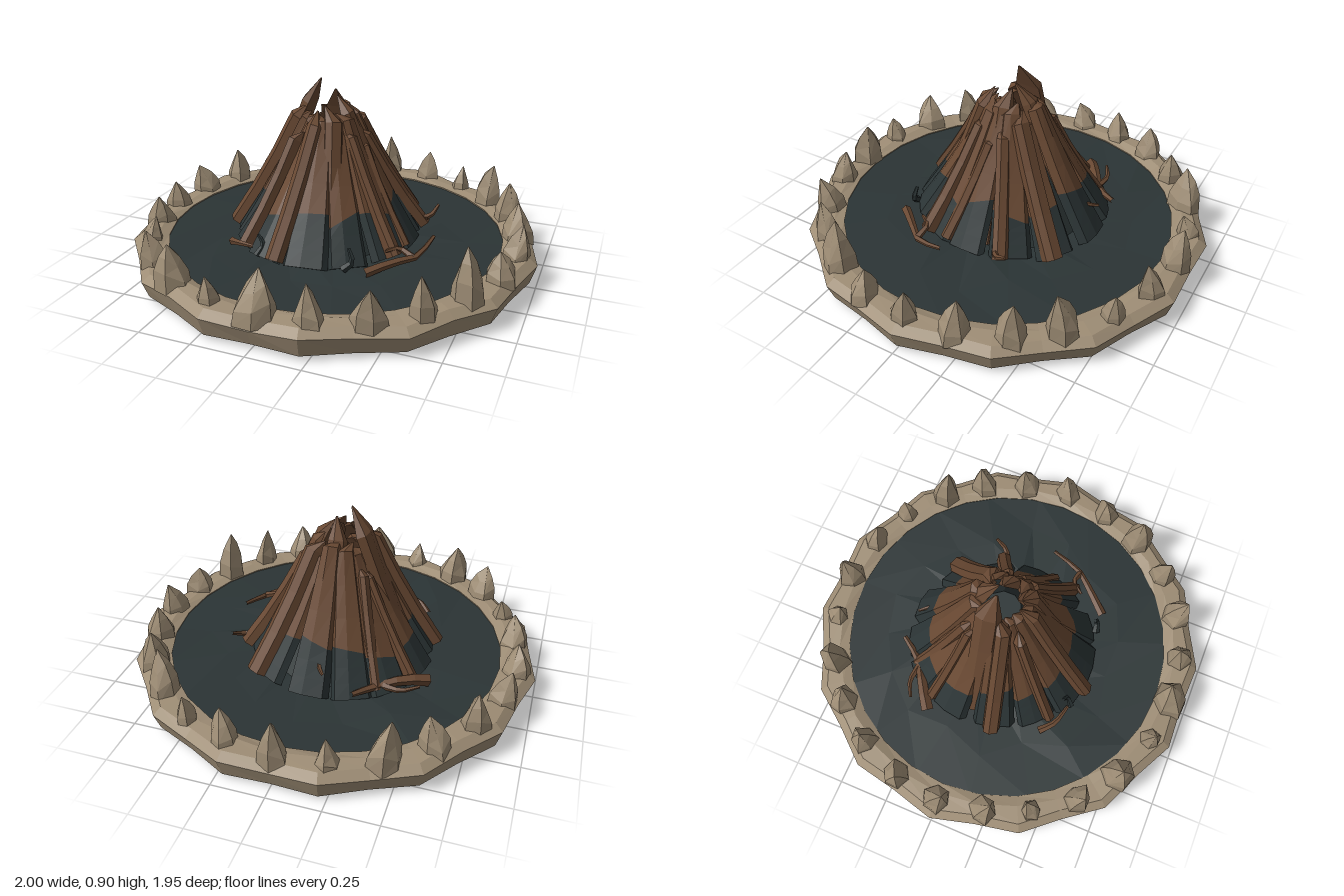
import * as THREE from 'three';

const mat = (name, color) => {
  const m = new THREE.MeshStandardMaterial({ color, flatShading: true });
  m.name = name;
  return m;
};

// Seeded random numbers in -1..1
function seeded(seed) {
  return () => {
    seed = (seed * 16807) % 2147483647;
    return (seed / 2147483647) * 2 - 1;
  };
}

// Skin a list of equal-length loops, capped at both ends
function loft(loops) {
  const pos = [];
  const tri = (...pts) => pts.forEach((p) => pos.push(p.x, p.y, p.z));
  const n = loops[0].length;
  for (let k = 0; k + 1 < loops.length; k++) {
    const a = loops[k], b = loops[k + 1];
    for (let i = 0; i < n; i++) {
      const j = (i + 1) % n;
      tri(a[i], a[j], b[j]);
      tri(a[i], b[j], b[i]);
    }
  }
  const first = loops[0], last = loops[loops.length - 1];
  for (let i = 1; i + 1 < n; i++) {
    tri(first[0], first[i + 1], first[i]);
    tri(last[0], last[i], last[i + 1]);
  }
  const g = new THREE.BufferGeometry();
  g.setAttribute('position', new THREE.Float32BufferAttribute(pos, 3));
  g.computeVertexNormals();
  return g;
}

// Lathe whose points are nudged by rule(segment, profileIndex, radius, y) -> [radius, y]
function roughLathe(profile, segs, rule) {
  const g = new THREE.LatheGeometry(profile.map(([r, y]) => new THREE.Vector2(r, y)), segs);
  const p = g.attributes.position;
  for (let i = 0; i <= segs; i++) {
    profile.forEach(([r, y], j) => {
      const a = (i / segs) * Math.PI * 2;
      const [r2, y2] = rule(i % segs, j, r, y);
      p.setXYZ(i * profile.length + j, r2 * Math.sin(a), y2, r2 * Math.cos(a));
    });
  }
  g.computeVertexNormals();
  return g;
}

export function createModel() {
  const model = new THREE.Group();
  model.name = 'campfire';
  const stone = mat('sandstone', 0x9e8d75);
  const wood = mat('brown wood', 0x684832);
  const char = mat('charred dark', 0x2b3435);
  const rnd = seeded(4217);
  const add = (name, geo, material, parent = model) => {
    const m = new THREE.Mesh(geo, material);
    m.name = name;
    parent.add(m);
    return m;
  };
  const group = (name) => {
    const g = new THREE.Group();
    g.name = name;
    model.add(g);
    return g;
  };

  // Stone rim with fourteen shallow lobes and a wavy crest
  const wave = Array.from({ length: 32 }, () => rnd());
  const rimProfile = [[0.855, 0.024], [0.955, 0.022], [0.985, 0.11], [0.945, 0.142], [0.875, 0.147], [0.825, 0.133], [0.855, 0.024]];
  add('rim', roughLathe(rimProfile, 28, (i, j, r, y) => {
    const outer = j > 0 && j < 4;
    const inner = j === 0 || j === 6;
    const dr = outer ? (i % 2 ? 0.015 : -0.017) : 0;
    const dy = inner ? (i === 1 ? -0.024 : 0) : j > 1 && j < 5 ? wave[i] * 0.012 : 0;
    return [r + dr, y + dy];
  }), stone);

  // Ash bed, faintly uneven on top
  const bed = [[0, 0.04], [0.86, 0.04], [0.84, 0.125], [0.6, 0.127], [0.32, 0.13], [0, 0.132]];
  add('ashBed', roughLathe(bed, 18, (i, j, r, y) =>
    j === 3 || j === 4 ? [r + wave[(i * 3 + j) % 32] * 0.07, y + wave[(i * 5 + j) % 32] * 0.014] : [r, y]), char);

  // Pointed stones standing on the rim every 15 degrees: height and girth of each
  const stones = group('stones');
  const sizes = [[0.3, 0.062], [0.27, 0.068], [0.38, 0.078], [0.32, 0.062], [0.3, 0.07], [0.3, 0.06],
    [0.34, 0.085], [0.26, 0.052], [0.32, 0.078], [0.3, 0.062], [0.25, 0.05], [0.28, 0.068],
    [0.27, 0.068], [0.28, 0.068], [0.31, 0.066], [0.3, 0.064], [0.34, 0.072], [0.25, 0.052],
    [0.34, 0.066], [0.3, 0.062], [0.26, 0.046], [0.35, 0.068], [0.32, 0.066], [0.31, 0.066]];
  sizes.forEach(([h, size], i) => {
    const a = (i / 24) * Math.PI * 2;
    const leanX = rnd() * 0.035, leanZ = rnd() * 0.035, turn = rnd() * 3;
    const bumps = Array.from({ length: 6 }, () => 1 + rnd() * 0.16);
    const rise = h - 0.11;
    const loops = [[0, 1.1], [0.36, 1], [0.66, 0.62], [1, 0.04]].map(([t, s], k) =>
      bumps.map((b, q) => {
        const u = turn - (q / 6) * Math.PI * 2;
        const r = size * s * b;
        const dy = k === 1 || k === 2 ? rise * 0.11 * Math.sin(q * 2.4 + i) : 0;
        return new THREE.Vector3(r * Math.cos(u) + leanX * t * t, rise * t + dy, r * Math.sin(u) + leanZ * t * t);
      }));
    const m = add('stone', loft(loops), stone, stones);
    m.position.set(Math.cos(a) * 0.9, 0.11, Math.sin(a) * 0.9);
  });

  // One split log leaning to the middle; sections cover t = from..to, meeting along a slanted burn line,
  // with an optional splintered tip
  const cx = -0.03, cz = -0.01;
  function plank({ deg, r0, r1, y0 = 0.13, y1, w0, w1, th = 0.05, swing = 0, tip = 0, tipSide = 0, from = 0, to = 1, skew = 0 }) {
    const a = THREE.MathUtils.degToRad(deg), a1 = a + swing;
    const base = new THREE.Vector3(cx + Math.cos(a) * r0, y0, cz + Math.sin(a) * r0);
    const top = new THREE.Vector3(cx + Math.cos(a1) * r1, y1, cz + Math.sin(a1) * r1);
    const d = top.clone().sub(base).normalize();
    const s = new THREE.Vector3(Math.cos(a), 0, Math.sin(a)).cross(d).normalize();
    const n = d.clone().cross(s);
    const section = (t, scale = 1, shift = 0, along = 0) => {
      const w = THREE.MathUtils.lerp(w0, w1, t) * 0.5;
      const bow = Math.sin(t * Math.PI) * -0.012;
      const slant = (t === from && from > 0) || (t === to && to < 1) ? skew : 0;
      return [[-1, 0], [1, 0], [0.85, 0.85], [0.15, 1.1], [-0.8, 0.8]].map(([u, v]) =>
        base.clone().lerp(top, t + slant * u).addScaledVector(s, (u * scale + shift) * w)
          .addScaledVector(n, v * th * scale + bow).addScaledVector(d, along));
    };
    const loops = [0, 0.33, 0.66, 1].map((k) => section(THREE.MathUtils.lerp(from, to, k)));
    if (tip && to === 1) loops.push(section(1, 0.1, tipSide, tip));
    return loft(loops);
  }

  // Inner ring of broad logs: charred feet, brown upper parts
  const pile = group('logPile');
  for (let i = 0; i < 13; i++) {
    const log = {
      deg: i * 27.7 + rnd() * 4, r0: 0.435 + rnd() * 0.025, r1: 0.1 + rnd() * 0.015, y1: 0.7 + rnd() * 0.04,
      w0: 0.2 + rnd() * 0.015, w1: 0.085, th: 0.04 + rnd() * 0.012, tip: 0.03 + (rnd() + 1) * 0.012, tipSide: rnd(),
      skew: rnd() * 0.06,
    };
    const burn = 0.31 + rnd() * 0.06;
    add('charredFoot', plank({ ...log, to: burn }), char, pile);
    add('log', plank({ ...log, from: burn }), wood, pile);
  }
  const core = add('charredCore', new THREE.CylinderGeometry(0.09, 0.38, 0.5, 10), char, pile);
  core.position.set(cx, 0.37, cz);

  // Outer logs, brown to the ground: angle, base radius, top radius, top height, width, tip, tip side
  const outer = [
    [165, 0.46, 0.14, 0.72, 0.085, 0.06, 0.8], [182, 0.36, 0.1, 0.78, 0.14, 0.13, -0.3],
    [100, 0.48, 0.14, 0.7, 0.08, 0.08, 0.6], [128, 0.45, 0.17, 0.62, 0.06, 0.05, -0.5],
    [30, 0.46, 0.15, 0.64, 0.07, 0.05, 0.4], [16, 0.42, 0.16, 0.58, 0.06, 0.05, -0.6],
    [338, 0.45, 0.15, 0.62, 0.075, 0.06, 0.5], [308, 0.48, 0.13, 0.69, 0.1, 0.06, -0.7],
    [270, 0.37, 0.07, 0.75, 0.1, 0.11, 0.5], [232, 0.43, 0.17, 0.6, 0.06, 0.05, 0.3],
    [208, 0.45, 0.17, 0.58, 0.055, 0.05, -0.4], [68, 0.36, 0.12, 0.72, 0.1, 0.08, 0.9],
    [355, 0.35, 0.07, 0.74, 0.11, 0.09, -0.4],
  ];
  outer.forEach(([deg, r0, r1, y1, w, tip, tipSide]) =>
    add('outerLog', plank({ deg, r0, r1, y0: 0.15, y1, w0: w, w1: w * 0.9, swing: rnd() * 0.2, tip, tipSide }), wood, pile));

  // Twigs lying around the foot of the pile
  const twigs = group('twigs');
  const twig = (r, pts, material = wood) => {
    const curve = new THREE.CatmullRomCurve3(pts.map((p) => new THREE.Vector3(...p)));
    const g = new THREE.TubeGeometry(curve, 5, r, 5);
    // Taper towards the far end
    const p = g.attributes.position, c = new THREE.Vector3(), v = new THREE.Vector3();
    for (let i = 0; i < p.count; i++) {
      const t = Math.floor(i / 6) / 5;
      curve.getPointAt(t, c);
      v.fromBufferAttribute(p, i).sub(c).multiplyScalar(1 - 0.6 * t).add(c);
      p.setXYZ(i, v.x, v.y, v.z);
    }
    add('twig', g, material, twigs);
  };
  twig(0.032, [[-0.52, 0.16, -0.22], [-0.42, 0.19, -0.29], [-0.31, 0.18, -0.36], [-0.22, 0.2, -0.48]]);
  twig(0.018, [[-0.33, 0.18, -0.35], [-0.42, 0.18, -0.36], [-0.5, 0.19, -0.32]]);
  twig(0.024, [[0.3, 0.15, 0.42], [0.4, 0.17, 0.31], [0.48, 0.17, 0.22], [0.52, 0.21, 0.06]]);
  twig(0.018, [[0.47, 0.17, 0.23], [0.4, 0.2, 0.22], [0.35, 0.2, 0.28]]);
  twig(0.02, [[-0.4, 0.15, 0.34], [-0.34, 0.18, 0.4], [-0.24, 0.19, 0.43]]);
  twig(0.02, [[0.36, 0.2, -0.16], [0.43, 0.2, -0.18], [0.46, 0.24, -0.25]]);
  twig(0.018, [[-0.06, 0.34, -0.32], [-0.04, 0.28, -0.4], [-0.08, 0.26, -0.46]]);
  twig(0.02, [[0.2, 0.15, 0.42], [0.24, 0.19, 0.41], [0.22, 0.25, 0.4]], char);
  twig(0.018, [[-0.22, 0.15, 0.44], [-0.2, 0.2, 0.41], [-0.23, 0.24, 0.4]], char);

  return model;
}
